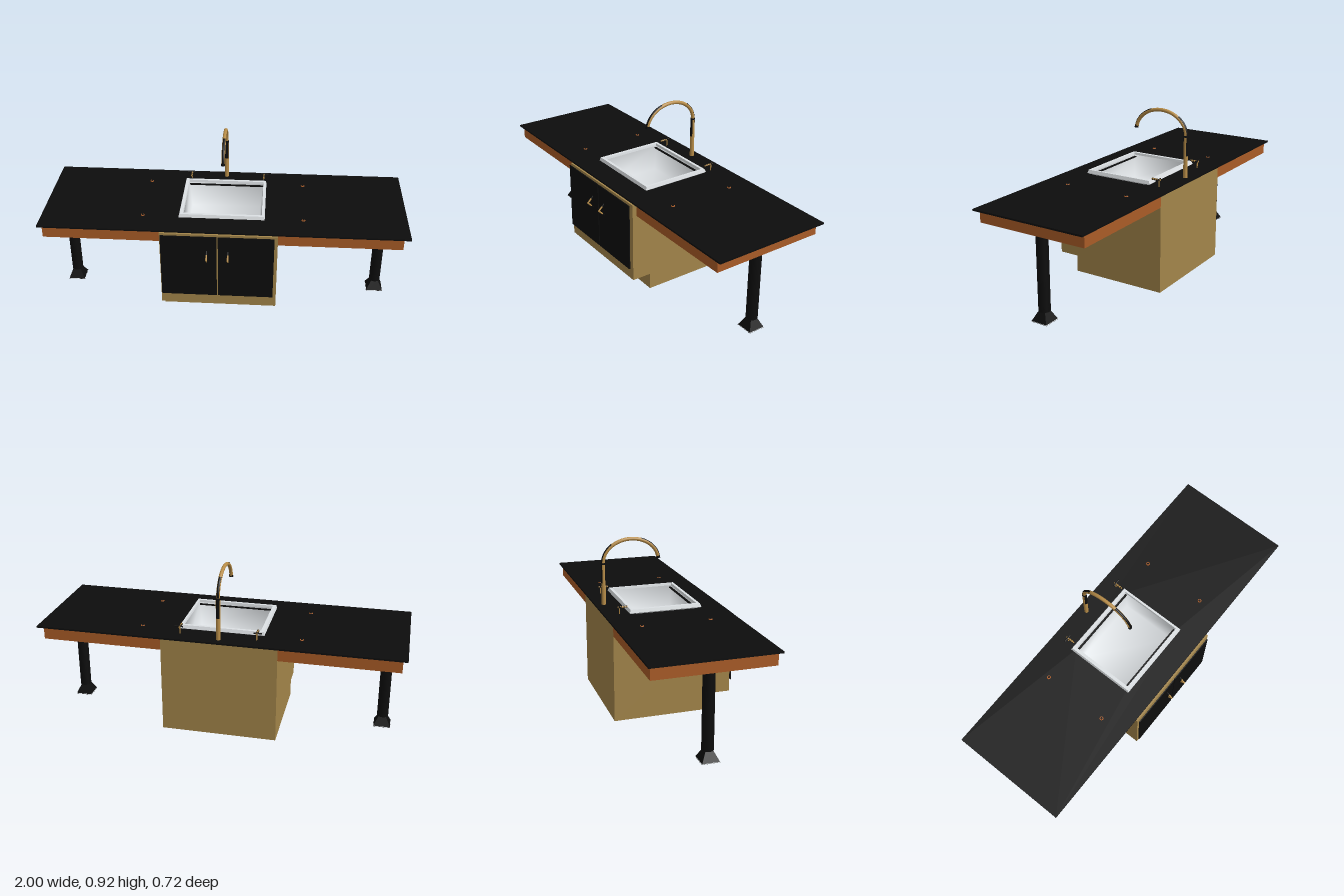
import * as THREE from 'three';

const mat = (name, color, side = THREE.FrontSide) => {
  const m = new THREE.MeshStandardMaterial({ color, side });
  m.name = name;
  return m;
};

export function createModel() {
  const root = new THREE.Group();
  root.name = 'kitchenIsland';
  const black = mat('black', 0x0d0d0d);
  const tan = mat('cabinetTan', 0xa3854a);
  const wood = mat('wood', 0xaa5c27);
  const brass = mat('brass', 0xb88d48);
  const steel = mat('steel', 0xdde1e4, THREE.DoubleSide);

  const add = (name, geo, material, x = 0, y = 0, z = 0, parent = root) => {
    const m = new THREE.Mesh(geo, material);
    m.name = name;
    m.position.set(x, y, z);
    parent.add(m);
    return m;
  };
  // Box given by its extents
  const box = (name, material, x0, x1, y0, y1, z0, z1, parent = root) =>
    add(name, new THREE.BoxGeometry(x1 - x0, y1 - y0, z1 - z0), material,
      (x0 + x1) / 2, (y0 + y1) / 2, (z0 + z1) / 2, parent);
  const rod = (name, material, r, x, y0, y1, z, r1 = r, sides = 20) =>
    add(name, new THREE.CylinderGeometry(r1, r, y1 - y0, sides), material, x, (y0 + y1) / 2, z);

  // Countertop with a cut-out for the sink
  const rect = (path, x0, x1, z0, z1) =>
    path.moveTo(x0, -z0).lineTo(x0, -z1).lineTo(x1, -z1).lineTo(x1, -z0).closePath();
  const top = new THREE.Shape();
  rect(top, -1, 1, -0.36, 0.3);
  const hole = new THREE.Path();
  rect(hole, -0.225, 0.21, -0.21, 0.155);
  top.holes.push(hole);
  const topGeo = new THREE.ExtrudeGeometry(top, { depth: 0.009, bevelEnabled: false });
  topGeo.rotateX(-Math.PI / 2);
  add('countertop', topGeo, black, 0, 0.548, 0);

  // Wooden aprons on both sides of the cabinet
  box('apronRight', wood, -0.975, -0.335, 0.48, 0.548, -0.345, 0.285);
  box('apronLeft', wood, 0.3, 0.965, 0.48, 0.548, -0.345, 0.285);

  // Cabinet: side panels with a toe-kick notch, then the flat panels between
  const cabinet = new THREE.Group();
  cabinet.name = 'cabinet';
  root.add(cabinet);
  const side = new THREE.Shape([
    [0.345, 0], [0.345, 0.548], [-0.31, 0.548], [-0.31, 0.093], [-0.2, 0.093], [-0.2, 0],
  ].map(([a, b]) => new THREE.Vector2(a, b)));
  const sideGeo = new THREE.ExtrudeGeometry(side, { depth: 0.01, bevelEnabled: false });
  sideGeo.rotateY(Math.PI / 2);
  add('sidePanelRight', sideGeo, tan, -0.335, 0, 0, cabinet);
  add('sidePanelLeft', sideGeo, tan, 0.29, 0, 0, cabinet);
  box('frontPanel', tan, -0.325, 0.29, 0.093, 0.548, 0.3, 0.31, cabinet);
  box('ledge', tan, -0.325, 0.29, 0.093, 0.103, 0.19, 0.3, cabinet);
  box('toeKick', tan, -0.325, 0.29, 0, 0.093, 0.19, 0.2, cabinet);
  box('floor', tan, -0.325, 0.29, 0, 0.01, -0.335, 0.19, cabinet);
  box('backPanel', tan, -0.325, 0.29, 0, 0.548, -0.345, -0.335, cabinet);

  // Doors
  box('doorRight', black, -0.33, -0.026, 0.157, 0.54, 0.317, 0.323);
  box('doorLeft', black, -0.019, 0.282, 0.157, 0.54, 0.317, 0.323);

  // V-shaped handles: dark arms with a brass grip
  const bar = (name, material, x, a, b) => {
    const p = new THREE.Vector3(x, a[1], a[0]), q = new THREE.Vector3(x, b[1], b[0]);
    add(name, new THREE.TubeGeometry(new THREE.LineCurve3(p, q), 1, 0.0045, 8), material);
  };
  for (const x of [-0.08, 0.035]) {
    const tip = [0.356, 0.413];
    for (const s of [-1, 1]) {
      const end = [0.31, tip[1] + s * 0.046], mid = [0.334, tip[1] + s * 0.022];
      bar('handleArm', black, x, end, mid);
      bar('handleGrip', brass, x, mid, tip);
    }
    add('handleTip', new THREE.SphereGeometry(0.0045, 8, 6), brass, x, tip[1], tip[0]);
  }

  // Legs with flared square feet
  for (const x of [-0.892, 0.88]) {
    rod('leg', black, 0.031, x, 0.055, 0.48, -0.03, 0.031, 24);
    const foot = new THREE.CylinderGeometry(0.028, 0.067, 0.055, 4, 1, true).toNonIndexed();
    foot.rotateY(Math.PI / 4);
    foot.computeVertexNormals();
    add('foot', foot, black, x, 0.0275, -0.028);
    box('footPad', steel, x - 0.047, x + 0.047, 0, 0.003, -0.075, 0.019);
  }

  // Sink: rectangular loops [x0, x1, z0, z1, y] joined into a skin
  const skin = (loops, closed, smooth) => {
    const pos = [], idx = [];
    loops.forEach(([x0, x1, z0, z1, y]) =>
      pos.push(x0, y, z0, x0, y, z1, x1, y, z1, x1, y, z0));
    for (let i = 0; i < loops.length - 1; i++) {
      for (let j = 0; j < 4; j++) {
        const a = i * 4 + j, b = i * 4 + (j + 1) % 4;
        idx.push(a, b, b + 4, a, b + 4, a + 4);
      }
    }
    if (closed) {
      const n = (loops.length - 1) * 4;
      idx.push(n, n + 1, n + 2, n, n + 2, n + 3);
    }
    let g = new THREE.BufferGeometry();
    g.setAttribute('position', new THREE.Float32BufferAttribute(pos, 3));
    g.setIndex(idx);
    if (!smooth) g = g.toNonIndexed();
    g.computeVertexNormals();
    return g;
  };
  add('sinkRim', skin([
    [-0.235, 0.215, -0.215, 0.16, 0.557],
    [-0.245, 0.225, -0.23, 0.174, 0.565],
    [-0.24, 0.22, -0.223, 0.168, 0.583],
    [-0.222, 0.208, -0.207, 0.152, 0.583],
    [-0.22, 0.206, -0.205, 0.15, 0.57],
  ], false, false), steel);
  add('sinkBasin', skin([
    [-0.22, 0.206, -0.205, 0.15, 0.57],
    [-0.205, 0.195, -0.185, 0.14, 0.43],
  ], true, true), steel);
  for (const z of [-0.205, 0.15]) box('sinkClip', black, -0.238, 0.218, 0.557, 0.563, z - 0.012, z + 0.012);

  // Faucet: post, collar and arched spout
  const fx = -0.012, fz = -0.312;
  rod('faucetPost', brass, 0.012, fx, 0.557, 0.785, fz);
  rod('faucetCollar', black, 0.0128, fx, 0.783, 0.792, fz);
  const arc = (a0, a1, grow) => {
    const pts = [];
    for (let i = 0; i <= 24; i++) {
      const t = a0 + (a1 - a0) * i / 24;
      pts.push(new THREE.Vector3(fx, 0.79 + (0.125 + grow) * Math.sin(t),
        -0.155 - (0.157 + grow) * Math.cos(t)));
    }
    return new THREE.CatmullRomCurve3(pts);
  };
  add('faucetSpout', new THREE.TubeGeometry(arc(0, 3.04, 0), 48, 0.01, 14), brass);
  // Dark inlays along the outside of the spout and the post
  for (const [a, b] of [[0.02, 0.85], [1.95, 3.02]])
    add('spoutInlay', new THREE.TubeGeometry(arc(a, b, 0.0035), 24, 0.0078, 12), black);
  for (const t of [0, Math.PI])
    add('postInlay', new THREE.CylinderGeometry(0.0125, 0.0125, 0.105, 10, 1, true, t - 0.9, 1.8),
      black, fx, 0.7325, fz);
  const nozzle = rod('nozzle', black, 0.0112, fx, 0.799, 0.811, 0.002);
  nozzle.rotation.x = -0.12;

  // Tap valves: stem and ribbed lever
  for (const x of [-0.212, 0.208]) {
    rod('valveStem', brass, 0.003, x, 0.557, 0.592, -0.277, 0.003, 10);
    const lever = add('valveLever', new THREE.CylinderGeometry(0.005, 0.005, 0.052, 12), brass, x, 0.595, -0.26);
    lever.rotation.x = Math.PI / 2;
    for (let i = 0; i < 4; i++)
      add('leverRib', new THREE.TorusGeometry(0.005, 0.0017, 6, 12), black, x, 0.595, -0.281 + i * 0.014);
    const cross = add('valveCross', new THREE.CylinderGeometry(0.004, 0.004, 0.045, 10), black,
      x + Math.sign(x) * 0.005, 0.597, -0.277);
    cross.rotation.z = Math.PI / 2;
  }

  // Small fixing studs on the countertop
  for (const x of [-0.444, 0.435])
    for (const z of [-0.222, 0.15]) {
      rod('studBase', wood, 0.011, x, 0.557, 0.56, z, 0.01, 12);
      rod('studCap', black, 0.006, x, 0.56, 0.563, z, 0.005, 10);
    }

  return root;
}
